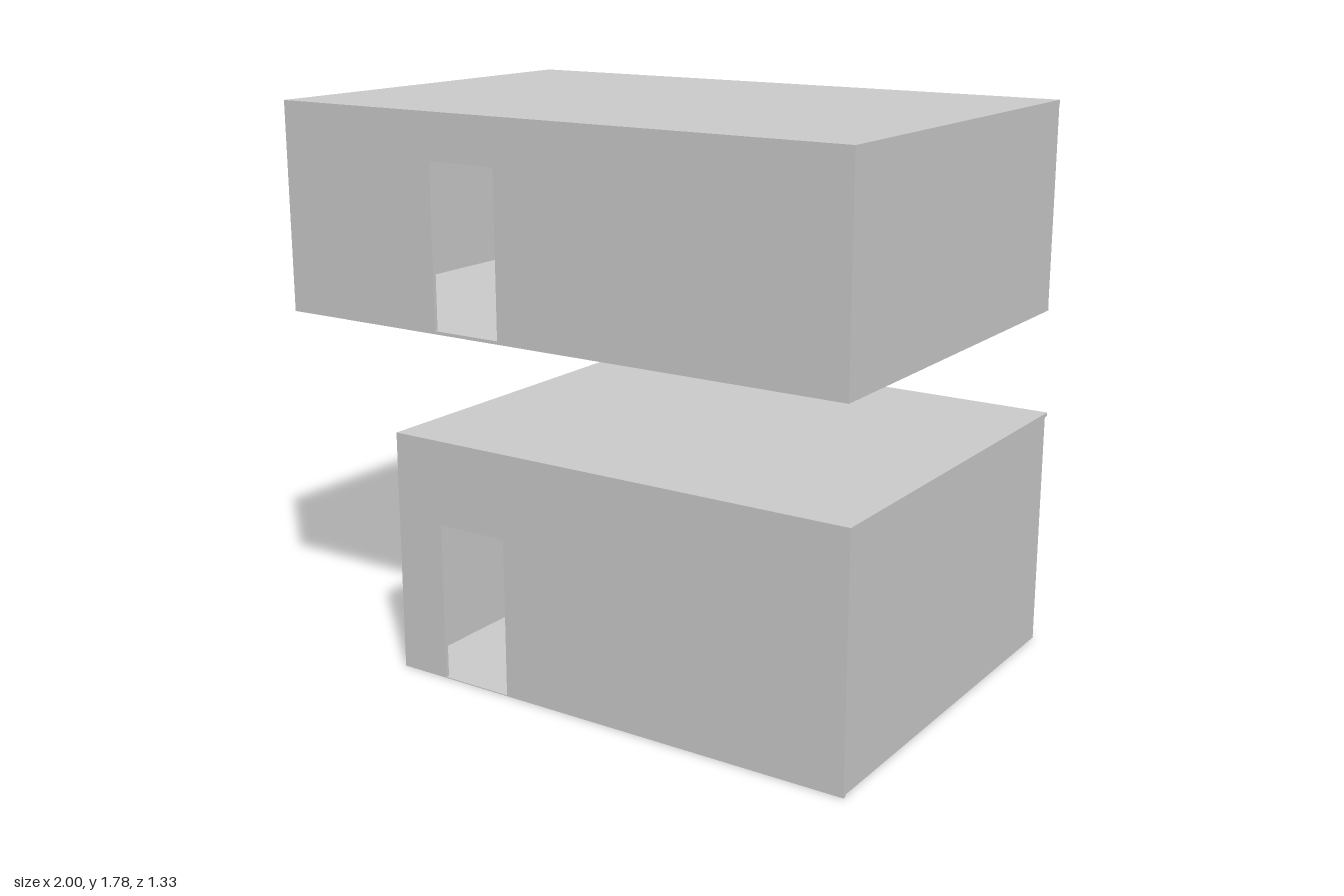
import * as THREE from 'three';

const material = new THREE.MeshStandardMaterial({ color: 0xcccccc, flatShading: true });

// Box given by its min and max corners
function slab(name, [x0, y0, z0], [x1, y1, z1]) {
  const mesh = new THREE.Mesh(new THREE.BoxGeometry(x1 - x0, y1 - y0, z1 - z0), material);
  mesh.name = name;
  mesh.position.set((x0 + x1) / 2, (y0 + y1) / 2, (z0 + z1) / 2);
  return mesh;
}

// Front wall with a doorway cut up from its lower edge
function doorwayWall(name, x0, x1, y0, y1, z0, z1, door) {
  const shape = new THREE.Shape([
    [x0, y0], [door.x0, y0], [door.x0, door.top], [door.x1, door.top],
    [door.x1, y0], [x1, y0], [x1, y1], [x0, y1],
  ].map(([x, y]) => new THREE.Vector2(x, y)));
  const geometry = new THREE.ExtrudeGeometry(shape, { depth: z1 - z0, bevelEnabled: false });
  const mesh = new THREE.Mesh(geometry, material);
  mesh.name = name;
  mesh.position.z = z0;
  return mesh;
}

// Hollow storey: floor, roof, back and side walls, front wall with doorway
function storey({ name, x0, x1, y0, y1, floor, inset, door }) {
  const t = 0.012, Z = 0.667;
  const group = new THREE.Group();
  group.name = name;
  const low = y0 + floor, high = y1 - t, right = x1 - inset;
  group.add(
    slab('floor', [x0, y0, -Z], [right, low, Z - t]),
    slab('roof', [x0, high, -Z], [x1, y1, Z]),
    slab('backWall', [x0, low, -Z + 0.003], [right, high, -Z + t]),
    slab('leftEndWall', [x0, low, -Z + t], [x0 + t, high, Z - t]),
    slab('rightEndWall', [right - t, low, -Z + t], [right, high, Z - t]),
    slab('threshold', [x0, y0, Z - t], [x1, low, Z]),
    doorwayWall('frontWall', x0, x1, low, high, Z - t, Z, door),
  );
  return group;
}

// Closed door with frame and lever handle on the -x end wall
function sideDoor(x) {
  const group = new THREE.Group();
  group.name = 'sideDoor';
  const z0 = -0.075, z1 = 0.098, top = 0.475, w = 0.012, out = x - 0.004;
  group.add(
    slab('doorPanel', [x - 0.001, 0.003, z0 + w], [x + 0.005, top - w, z1 - w]),
    slab('frameSide', [out, 0, z0], [x, top, z0 + w]),
    slab('frameSide', [out, 0, z1 - w], [x, top, z1]),
    slab('frameTop', [out, top - w, z0 + w], [x, top, z1 - w]),
    slab('handleStem', [x - 0.008, 0.237, -0.05], [x, 0.245, -0.042]),
    slab('handleLever', [x - 0.01, 0.237, -0.05], [x - 0.006, 0.245, -0.015]),
  );
  return group;
}

export function createModel() {
  const model = new THREE.Group();
  model.name = 'twoStoreyHouse';
  model.add(
    storey({
      name: 'lowerStorey', x0: -0.59, x1: 1, y0: 0, y1: 0.78, floor: 0.003, inset: 0.006,
      door: { x0: -0.42, x1: -0.175, top: 0.51 },
    }),
    storey({
      name: 'upperStorey', x0: -1, x1: 0.985, y0: 1.115, y1: 1.78, floor: 0.01, inset: 0,
      door: { x0: -0.417, x1: -0.178, top: 1.635 },
    }),
    sideDoor(-0.59),
  );
  return model;
}
